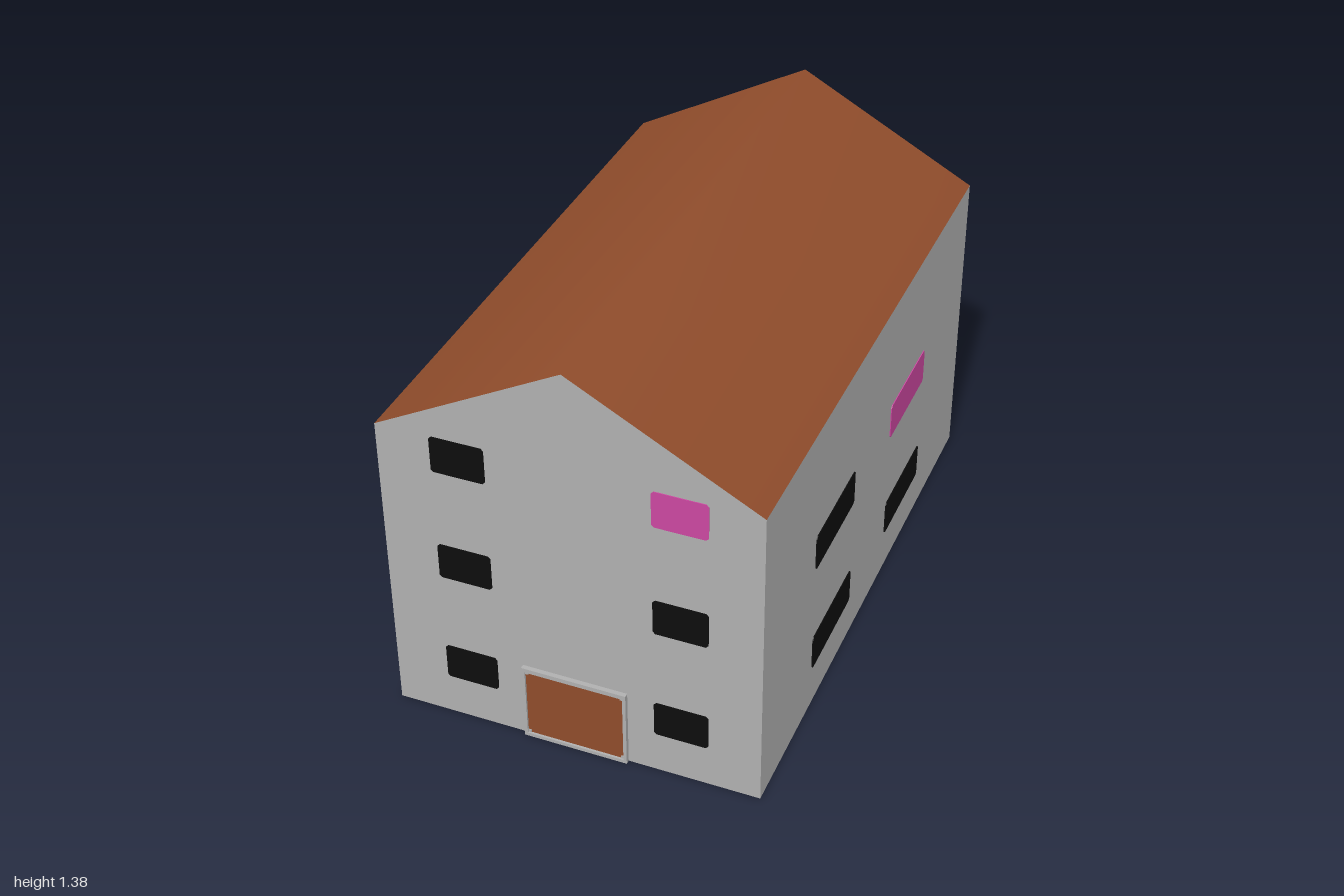
import * as THREE from 'three';

const wallGrey = new THREE.MeshStandardMaterial({ color: 0xb0b0b0, side: THREE.DoubleSide });
const roofBrown = new THREE.MeshStandardMaterial({ color: 0x8f4c2b, side: THREE.DoubleSide });
const windowBlack = new THREE.MeshStandardMaterial({ color: 0x0d0d0d });
const windowPink = new THREE.MeshStandardMaterial({ color: 0xcb47a0 });
wallGrey.name = 'wallGrey';
roofBrown.name = 'roofBrown';
windowBlack.name = 'windowBlack';
windowPink.name = 'windowPink';

const HALF = 0.605, EAVE = 1.06, RIDGE = 1.385, BACK = -1, FRONT = 0.985;
const DEPTH = FRONT - BACK, MID = (FRONT + BACK) / 2;
const PLATE = 0.006;

// Rectangle outline, counter-clockwise
function rectPath(Type, x0, y0, x1, y1) {
  return new Type([[x0, y0], [x1, y0], [x1, y1], [x0, y1]].map(([x, y]) => new THREE.Vector2(x, y)));
}

// Thin window plate with clipped corners, centred on its wall plane
function windowGeometry(w, h) {
  const c = 0.008, a = w / 2, b = h / 2;
  const shape = new THREE.Shape([
    [-a + c, -b], [a - c, -b], [a, -b + c], [a, b - c],
    [a - c, b], [-a + c, b], [-a, b - c], [-a, -b + c],
  ].map(([x, y]) => new THREE.Vector2(x, y)));
  return new THREE.ExtrudeGeometry(shape, { depth: PLATE, bevelEnabled: false }).translate(0, 0, -PLATE / 2);
}

export function createModel() {
  const house = new THREE.Group();
  house.name = 'house';
  const add = (name, geometry, material, x = 0, y = 0, z = 0, turn = 0) => {
    const mesh = new THREE.Mesh(geometry, material);
    mesh.name = name;
    mesh.position.set(x, y, z);
    mesh.rotation.y = turn;
    house.add(mesh);
    return mesh;
  };

  // Gable walls, the front one with a doorway
  const gable = () => new THREE.Shape([
    [-HALF, 0], [HALF, 0], [HALF, EAVE], [0, RIDGE], [-HALF, EAVE],
  ].map(([x, y]) => new THREE.Vector2(x, y)));
  const frontShape = gable();
  frontShape.holes.push(rectPath(THREE.Path, -0.157, 0.012, 0.165, 0.26));
  add('frontWall', new THREE.ShapeGeometry(frontShape), wallGrey, 0, 0, FRONT);
  add('backWall', new THREE.ShapeGeometry(gable()), wallGrey, 0, 0, BACK, Math.PI);

  // Side walls
  for (const s of [1, -1]) {
    add(s > 0 ? 'leftWall' : 'rightWall', new THREE.PlaneGeometry(DEPTH, EAVE), wallGrey,
      s * HALF, EAVE / 2, MID, s * Math.PI / 2);
  }

  // Roof sheet bent over the ridge, softly shaded across it
  const roof = new THREE.PlaneGeometry(2 * HALF, DEPTH, 2, 1).rotateX(-Math.PI / 2);
  const p = roof.attributes.position;
  for (let i = 0; i < p.count; i++) {
    p.setY(i, RIDGE - (RIDGE - EAVE) * Math.abs(p.getX(i)) / HALF);
  }
  roof.computeVertexNormals();
  add('roof', roof, roofBrown, 0, 0, MID);

  // Gable windows: three storeys, two columns
  const rows = [0.209, 0.606, 1.0];
  const frontPane = windowGeometry(0.174, 0.125);
  const backPane = windowGeometry(0.255, 0.125);
  rows.forEach((y, r) => {
    for (const s of [1, -1]) {
      add('frontWindow', frontPane, r === 2 && s > 0 ? windowPink : windowBlack,
        s > 0 ? 0.35 : -0.342, y, FRONT);
      add('backWindow', backPane, windowBlack, s > 0 ? 0.31 : -0.295, y, BACK, Math.PI);
    }
  });

  // Side windows: two storeys, two columns, one pink on each side
  const sidePane = windowGeometry(0.36, 0.125);
  for (const s of [1, -1]) {
    const pinkRow = s > 0 ? 1 : 0;
    for (const r of [0, 1]) {
      for (const z of [0.36, -0.368]) {
        add(s > 0 ? 'leftWindow' : 'rightWindow', sidePane,
          z < 0 && r === pinkRow ? windowPink : windowBlack, s * HALF, rows[r], z, s * Math.PI / 2);
      }
    }
  }

  // Door with projecting frame and small corner blocks
  const frame = rectPath(THREE.Shape, -0.168, 0, 0.176, 0.275);
  frame.holes.push(rectPath(THREE.Path, -0.157, 0.012, 0.165, 0.26));
  add('doorFrame', new THREE.ExtrudeGeometry(frame, { depth: 1 - FRONT, bevelEnabled: false }), wallGrey, 0, 0, FRONT);
  add('door', new THREE.BoxGeometry(0.322, 0.248, 0.005), roofBrown, 0.004, 0.136, 0.99);
  const corner = new THREE.BoxGeometry(0.01, 0.01, 0.006);
  for (const x of [-0.152, 0.16]) {
    for (const y of [0.017, 0.255]) add('doorCorner', corner, wallGrey, x, y, 0.992);
  }

  return house;
}
